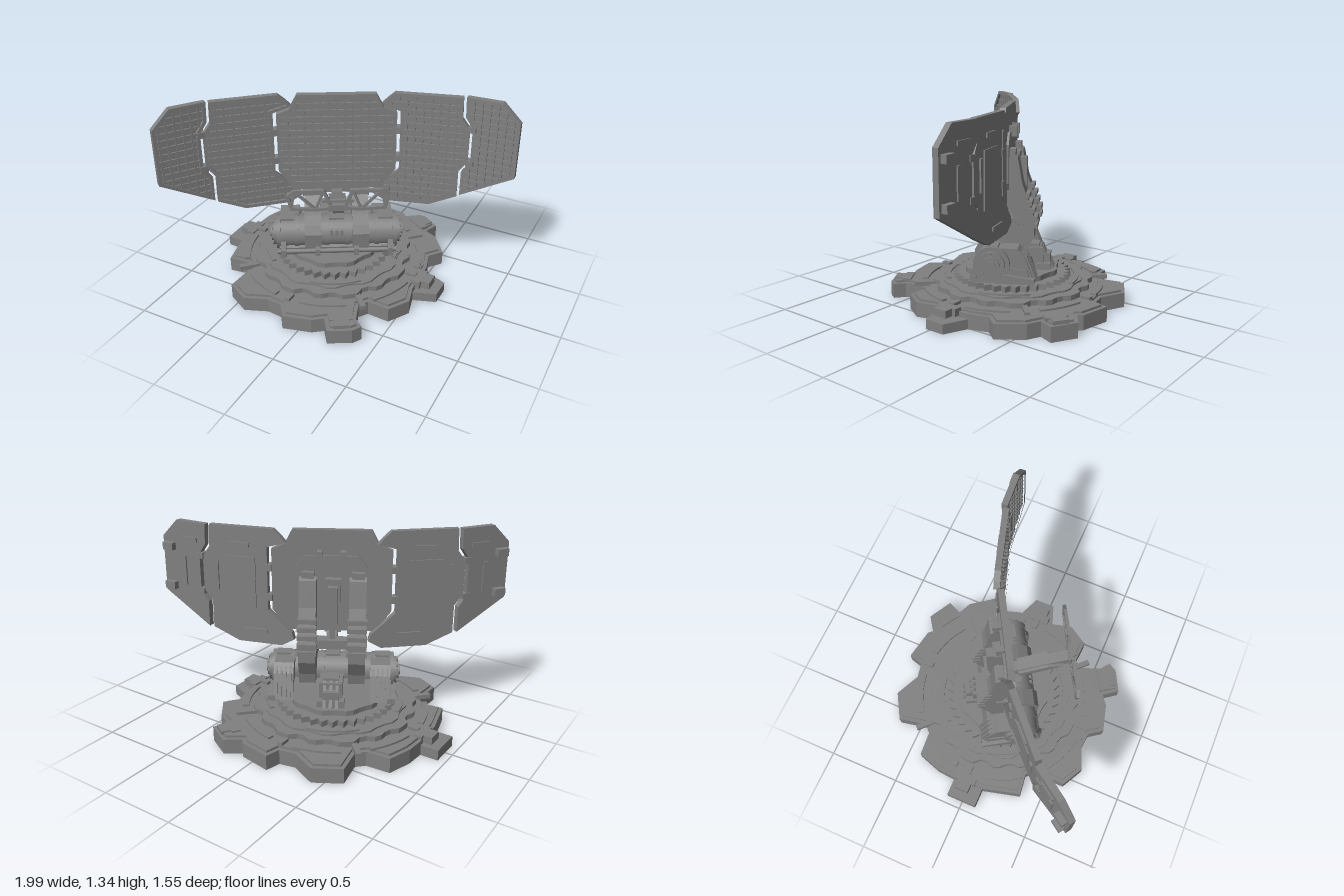
import * as THREE from 'three';
import { mergeGeometries } from 'three/addons/utils/BufferGeometryUtils.js';

const grey = new THREE.MeshStandardMaterial({ color: 0x808080 });
grey.name = 'gunmetal grey';
const RAD = Math.PI / 180;

function add(parent, name, geos) {
  const list = [].concat(geos).map(g => (g.index ? g.toNonIndexed() : g));
  const mesh = new THREE.Mesh(list.length > 1 ? mergeGeometries(list) : list[0], grey);
  mesh.name = name;
  parent.add(mesh);
  return mesh;
}
function group(parent, name, x = 0, y = 0, z = 0, ry = 0) {
  const g = new THREE.Group();
  g.name = name;
  g.position.set(x, y, z);
  g.rotation.y = ry;
  parent.add(g);
  return g;
}
const box = (w, h, d, x, y, z) => new THREE.BoxGeometry(w, h, d).translate(x, y, z);
const shape = pts => new THREE.Shape(pts.map(p => new THREE.Vector2(p[0], p[1])));
const extrude = (s, depth) => new THREE.ExtrudeGeometry(s, { depth, bevelEnabled: false, curveSegments: 10 });
// plan outline (x, z) raised from y0 to y1
const slab = (pts, y0, y1) => extrude(shape(pts.map(([x, z]) => [x, -z])), y1 - y0).rotateX(-Math.PI / 2).translate(0, y0, 0);
// side outline (z, y) widened along x
const side = (pts, w, x = 0) => extrude(shape(pts), w).rotateY(-Math.PI / 2).translate(x + w / 2, 0, 0);
// cylinder lying along x
const rod = (r, len, x, y, z, n = 28) => new THREE.CylinderGeometry(r, r, len, n).rotateZ(Math.PI / 2).translate(x, y, z);
// square bar between two points
function bar(a, b, t) {
  const p = new THREE.Vector3(...a), q = new THREE.Vector3(...b), d = q.clone().sub(p);
  const turn = new THREE.Quaternion().setFromUnitVectors(new THREE.Vector3(0, 1, 0), d.clone().normalize());
  const mid = p.add(q).multiplyScalar(0.5);
  return new THREE.BoxGeometry(t, d.length() + t / 2, t).applyQuaternion(turn).translate(mid.x, mid.y, mid.z);
}
// outline moved inwards by d
function inset(pts, d) {
  const sgn = Math.sign(THREE.ShapeUtils.area(pts.map(p => ({ x: p[0], y: p[1] }))));
  const n = pts.length;
  return pts.map((p, i) => {
    const a = pts[(i + n - 1) % n], b = pts[(i + 1) % n];
    const u = new THREE.Vector2(p[0] - a[0], p[1] - a[1]).normalize();
    const v = new THREE.Vector2(b[0] - p[0], b[1] - p[1]).normalize();
    const m = new THREE.Vector2(-u.y - v.y, u.x + v.x).multiplyScalar(sgn);
    const k = d / Math.max(0.8, 1 + u.dot(v));
    return [p[0] + m.x * k, p[1] + m.y * k];
  });
}
// inside spans of an outline along the line where coordinate `axis` equals v
function spans(pts, axis, v) {
  const hits = [];
  pts.forEach((p, i) => {
    const q = pts[(i + 1) % pts.length];
    if ((p[axis] > v) !== (q[axis] > v)) {
      const t = (v - p[axis]) / (q[axis] - p[axis]);
      hits.push(p[1 - axis] + t * (q[1 - axis] - p[1 - axis]));
    }
  });
  return hits.sort((a, b) => a - b);
}
const polar = radii => radii.map((r, i) => {
  const a = (i / radii.length) * Math.PI * 2;
  return [r * Math.cos(a), r * Math.sin(a)];
});
function arcPlate(r0, r1, mid, half, y0, y1) {
  const a = (mid - half) * RAD, b = (mid + half) * RAD;
  const s = new THREE.Shape();
  s.absarc(0, 0, r1, a, b, false);
  s.absarc(0, 0, r0, b, a, true);
  return extrude(s, y1 - y0).rotateX(-Math.PI / 2).translate(0, y0, 0);
}

// antenna panel: back plate, raised rim and a grid of ribs
function panel(parent, name, pts, s) {
  const outline = pts.map(([x, y]) => [x * s, y]);
  const inner = inset(outline, 0.022);
  add(parent, name + 'Plate', extrude(shape(outline), 0.022).translate(0, 0, -0.02));
  const rim = shape(outline);
  rim.holes.push(new THREE.Path(inner.map(p => new THREE.Vector2(...p))));
  add(parent, name + 'Rim', extrude(rim, 0.018).translate(0, 0, 0.002));
  const ribs = [];
  for (let k = -14; k <= 30; k++) {
    const x = k * 0.052, y = k * 0.047;
    const up = spans(inner, 0, x), across = spans(inner, 1, y);
    for (let i = 0; i + 1 < up.length; i += 2) ribs.push(box(0.011, up[i + 1] - up[i], 0.011, x, (up[i] + up[i + 1]) / 2, 0.0075));
    for (let i = 0; i + 1 < across.length; i += 2) ribs.push(box(across[i + 1] - across[i], 0.011, 0.0105, (across[i] + across[i + 1]) / 2, y, 0.0073));
  }
  add(parent, name + 'Ribs', ribs);
}

function buildBase(root) {
  const outline = [[-.83, -.11], [-.82, -.24], [-.77, -.40], [-.61, -.41], [-.56, -.46], [-.60, -.65], [-.43, -.75], [-.26, -.67],
    [-.155, -.69], [-.13, -.79], [.085, -.75], [.11, -.72], [.21, -.79], [.37, -.70], [.33, -.60], [.42, -.56], [.54, -.40], [.47, -.31],
    [.51, -.18], [.52, .09], [.555, .22], [.47, .36], [.32, .35], [.28, .41], [.33, .54], [.395, .59], [.36, .65], [.22, .725], [.15, .63],
    [.085, .68], [-.10, .73], [-.165, .64], [-.27, .63], [-.42, .69], [-.57, .61], [-.56, .40], [-.61, .34], [-.755, .36], [-.82, .11]];
  const base = group(root, 'base');
  add(base, 'footPlate', slab(outline, 0, 0.1));
  add(base, 'footPlateTop', slab(inset(outline, 0.025), 0.1, 0.115));
  add(base, 'sideLugs', [slab([[.5, -.18], [.67, -.11], [.67, .03], [.5, .09]], 0, 0.065),
    slab([[-.95, -.11], [-.8, -.11], [-.8, .1], [-.95, .1]], 0, 0.07)]);

  const c = group(base, 'turntable', -0.14, 0, -0.03);
  // clamps on the outer lugs
  [0, 58, 180, 302].forEach(a => {
    const r = a % 180 ? 0.77 : 0.7;
    add(c, 'edgeClamp', [box(0.1, 0.05, 0.1, r, 0.1, 0), box(0.06, 0.05, 0.15, r - 0.04, 0.1, 0)]).rotation.y = a * RAD;
  });
  // arc plates and radial blocks on the foot
  const arcs = [], blocks = [];
  for (let i = 0; i < 8; i++) {
    arcs.push(arcPlate(0.585, 0.625, i * 45 + 22, 14, 0.11, 0.128));
    blocks.push(box(i % 2 ? 0.14 : 0.07, 0.03, 0.035, 0.6, 0.12, 0).rotateY(i * 45 * RAD));
  }
  add(c, 'footArcs', arcs);
  add(c, 'footBlocks', blocks);
  // stepped tier, saw-toothed ring and turntable
  add(c, 'steppedTier', slab(polar(Array.from({ length: 72 }, (_, i) => [.55, .55, .55, .52, .52, .54, .54, .51, .51][i % 9])), 0.1, 0.15));
  add(c, 'upperTier', slab(polar(Array.from({ length: 48 }, (_, i) => [.48, .48, .46, .46][i % 4])), 0.15, 0.162));
  add(c, 'sawRing', slab(polar(Array.from({ length: 72 }, (_, i) => (i % 2 ? .36 : .4))), 0.16, 0.2));
  add(c, 'bearing', slab(polar(Array.from({ length: 40 }, (_, i) => [.32, .32, .305, .305][i % 4])), 0.2, 0.235));
  add(c, 'tierArcs', [30, 120, 210, 300].map(a => arcPlate(0.425, 0.455, a, 22, 0.16, 0.174)));
}

function buildDrum(turret) {
  const d = group(turret, 'drum', 0.02, 0, 0);
  const y = 0.355, z = 0.085;
  add(d, 'drumBody', rod(0.112, 0.8, 0, y, z));
  add(d, 'drumCollars', [-.39, -.27, -.07, .07, .27, .39].map(x => rod(0.118, 0.03, x, y, z)));
  add(d, 'drumBed', side([[.19, .23], [.2, .29], [.13, .33], [-.14, .33], [-.17, .23]], 0.78));
  // end caps
  [-1, 1].forEach(s => {
    add(d, 'endCap', [rod(0.09, 0.03, s * 0.41, y, z), rod(0.062, 0.03, s * 0.425, y, z, 8), rod(0.035, 0.03, s * 0.435, y, z, 12)]);
    const bolts = [];
    for (let i = 0; i < 8; i++) bolts.push(rod(0.01, 0.03, s * 0.42, y + 0.076 * Math.sin(i * Math.PI / 4), z + 0.076 * Math.cos(i * Math.PI / 4), 6));
    add(d, 'endBolts', bolts);
    // ventilated housing behind the drum
    add(d, 'rearHousing', side([[.05, .46], [-.08, .46], [-.13, .4], [-.19, .24], [.05, .24]], 0.13, s * 0.315));
    add(d, 'rearFins', [0, 1, 2, 3].map(i => side([[-.09, .445], [-.14, .41], [-.2, .26], [-.15, .26]], 0.014, s * (0.27 + i * 0.03))));
    add(d, 'bedBracket', side([[.06, .235], [-.19, .235], [-.19, .27], [.06, .3]], 0.05, s * 0.39));
  });
  // cradle feet and rail along the front
  add(d, 'frontRail', rod(0.018, 0.8, 0, 0.262, 0.195, 10));
  add(d, 'frontFeet', [-.36, -.13, .13, .36].map(x => side([[.16, .225], [.225, .225], [.225, .285], [.2, .34], [.16, .34]], 0.035, x)));
  // slots and plates on the drum face
  add(d, 'drumPlates', [-.33, 0, .33].map(x => box(0.1, 0.02, 0.08, x, 0.463, 0.085)));
  add(d, 'drumSlots', [-.035, 0, .035].map(x => box(0.02, 0.04, 0.02, x, 0.395, 0.185)));
  // central gearbox at the back
  add(d, 'gearbox', [box(0.15, 0.15, 0.16, 0, 0.31, -0.14), box(0.1, 0.1, 0.06, 0, 0.29, -0.235), box(0.18, 0.05, 0.1, 0, 0.255, -0.22),
    box(0.1, 0.03, 0.1, 0, 0.39, -0.14)]);
  add(d, 'gearboxPipes', [-.04, 0, .04].map(x => bar([x, 0.39, -0.2], [x, 0.24, -0.28], 0.02)));
}

function buildArms(turret) {
  [-1, 1].forEach(s => {
    const arm = group(turret, 'supportArm', 0.02 + s * 0.16, 0, 0);
    add(arm, 'armBeam', side([[.215, .3], [.22, .4], [.19, .455], [.12, .495], [.08, .51], [-.03, .63], [.01, .7], [.01, 1], [-.03, 1.04], [-.06, 1.02],
      [-.09, .85], [-.17, .62], [-.17, .5], [-.12, .4], [-.1, .3]], 0.11));
    add(arm, 'armCap', box(0.13, 0.045, 0.08, 0, 0.6, -0.03));
    add(arm, 'armRidges', [0, 1, 2, 3, 4].map(i => box(0.125, 0.03, 0.05, 0, 0.57 + i * 0.05, -0.165 + Math.max(0, i - 1) * 0.017)));
    add(arm, 'armHead', box(0.08, 0.1, 0.05, 0, 1.02, -0.02));
  });
  // tie and tilt actuator between the arms
  add(turret, 'armTie', box(0.3, 0.06, 0.08, 0.02, 0.61, -0.08));
  add(turret, 'tiltActuator', [box(0.1, 0.16, 0.07, 0.02, 0.95, -0.02), box(0.06, 0.26, 0.06, 0.02, 0.86, -0.07), box(0.035, 0.2, 0.03, 0.02, 0.7, -0.075)]);
}

function buildFeed(turret) {
  const f = group(turret, 'feedHorn', 0.025, 0, 0);
  add(f, 'feedBoom', [side([[-.06, .59], [.05, .585], [.2, .62], [.43, .7], [.455, .76], [.43, .765], [.3, .73], [.1, .665], [-.06, .645]], 0.07),
    side([[.1, .61], [.2, .63], [.4, .71], [.3, .72], [.1, .65]], 0.11)]);
  const z = 0.445, bars = [];
  [-1, 1].forEach(s => {
    const loop = [[.04, .75], [.09, .87], [.27, .87], [.31, .84], [.29, .75], [.14, .74]];
    const P = i => [s * loop[i % 6][0], loop[i % 6][1], z];
    for (let i = 0; i < 6; i++) bars.push(bar(P(i), P(i + 1), 0.02));
    bars.push(bar(P(1), P(5), 0.016), bar(P(5), P(2), 0.016), bar(P(2), P(4), 0.016));
  });
  bars.push(box(0.12, 0.04, 0.03, 0, 0.755, z), box(0.2, 0.016, 0.02, 0, 0.8, z));
  add(f, 'feedTruss', bars);
}

function buildPanels(turret) {
  const c = group(turret, 'reflector', 0.03, 0, 0.03);
  const half = [[.25, 1.335], [.3, 1.24], [.385, 1.205], [.385, .8], [.31, .7], [.3, .66]];
  panel(c, 'centrePanel', [...half, ...half.map(([x, y]) => [-x, y]).reverse()], 1);
  add(c, 'backPlate', extrude(shape([[-.17, 1.17], [.17, 1.17], [.23, 1.1], [.23, .85], [.15, .7], [-.15, .7], [-.23, .85], [-.23, 1.1]]), 0.02).translate(0, 0, -0.035));
  add(c, 'backLugs', [-1, 1].map(s => box(0.035, 0.07, 0.05, s * 0.075, 1.17, -0.045)));

  const sidePts = [[-.115, 1.25], [-.08, 1.29], [-.03, 1.335], [.4, 1.335], [.405, 1.19], [.455, 1.12], [.455, .89], [.4, .82], [.4, .63],
    [.22, .55], [-.08, .55], [-.165, .6], [-.15, .65], [.01, .79], [.01, 1.215]];
  const outerPts = [[-.05, 1.335], [.18, 1.335], [.3, 1.215], [.3, .835], [-.05, .635], [-.05, .81], [.005, .88], [.005, 1.13], [-.045, 1.2]];
  [-1, 1].forEach(s => {
    const p = group(c, 'sidePanelGroup', s * 0.4, 0, 0, -s * 13 * RAD);
    panel(p, 'sidePanel', sidePts, s);
    add(p, 'sideBackPlates', [box(0.22, 0.36, 0.008, s * 0.2, 0.96, -0.024), box(0.14, 0.03, 0.01, s * 0.2, 1.22, -0.025),
      box(0.03, 0.2, 0.012, s * 0.36, 1, -0.026), box(0.16, 0.025, 0.01, s * 0.1, 0.64, -0.025)]);
    add(p, 'innerHinges', [1.08, 0.88].map(y => box(0.045, 0.045, 0.055, 0, y, 0)));
    const o = group(p, 'outerPanelGroup', s * 0.47, 0, 0, -s * 13 * RAD);
    panel(o, 'outerPanel', outerPts, s);
    add(o, 'outerHinges', [1.12, 0.88].map(y => box(0.05, 0.04, 0.055, 0, y, 0)));
    add(o, 'outerBackPlates', [box(0.12, 0.03, 0.01, s * 0.08, 1.22, -0.025), box(0.03, 0.2, 0.01, s * 0.13, 1.0, -0.025)]);
    add(o, 'outerLugs', [1.155, 0.885].map(y => box(0.08, 0.05, 0.04, s * 0.24, y, -0.038)));
  });
}

export function createModel() {
  const root = new THREE.Group();
  root.name = 'radarStation';
  buildBase(root);
  const turret = group(root, 'turret', -0.14, 0, -0.03, 30 * RAD);
  buildDrum(turret);
  buildArms(turret);
  buildFeed(turret);
  buildPanels(turret);
  return root;
}
